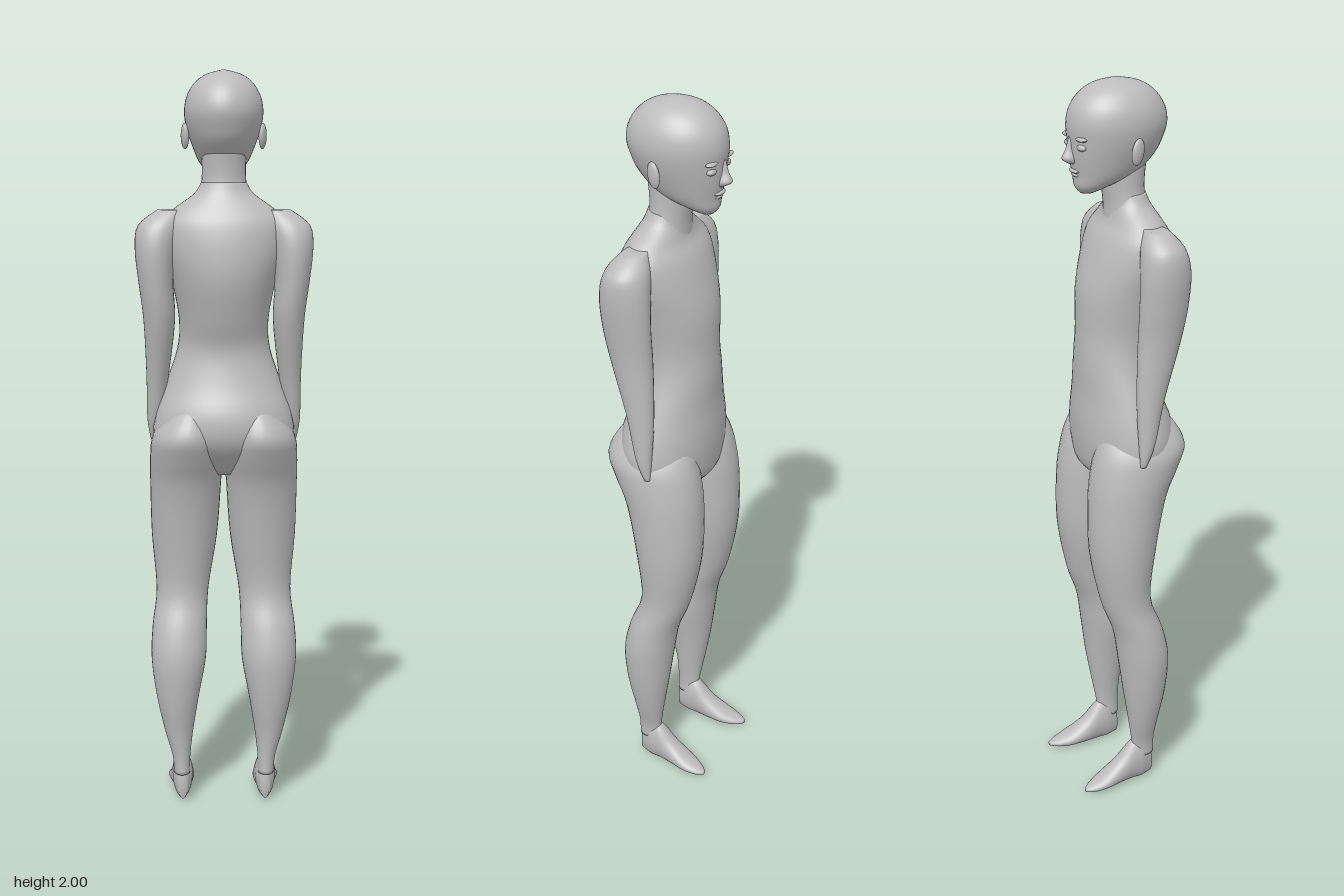
import * as THREE from 'three';

// Smooth skin through elliptical sections [y, centreX, centreZ, radiusX, radiusZ], listed bottom to top
function loft(sections, sides = 28, sub = 4) {
  const at = i => sections[Math.max(0, Math.min(sections.length - 1, i))];
  const rows = [];
  for (let i = 0; i < sections.length - 1; i++) {
    for (let s = 0; s < sub; s++) {
      const t = s / sub;
      rows.push(at(i).map((b, k) => {
        const a = at(i - 1)[k], c = at(i + 1)[k], d = at(i + 2)[k];
        return 0.5 * (2 * b + (c - a) * t + (2 * a - 5 * b + 4 * c - d) * t * t + (3 * b - a - 3 * c + d) * t ** 3);
      }));
    }
  }
  rows.push(at(sections.length - 1));
  const pos = [], index = [];
  for (const [y, cx, cz, rx, rz] of rows) {
    for (let j = 0; j < sides; j++) {
      const a = (j / sides) * Math.PI * 2;
      pos.push(cx + rx * Math.cos(a), y, cz + rz * Math.sin(a));
    }
  }
  for (let i = 0; i < rows.length - 1; i++) {
    for (let j = 0; j < sides; j++) {
      const a = i * sides + j, b = i * sides + (j + 1) % sides;
      index.push(a, a + sides, b, b, a + sides, b + sides);
    }
  }
  // End caps
  const last = (rows.length - 1) * sides;
  for (const [row, base] of [[rows[0], 0], [rows[rows.length - 1], last]]) {
    const c = pos.length / 3;
    pos.push(row[1], row[0], row[2]);
    for (let j = 0; j < sides; j++) {
      const a = base + j, b = base + (j + 1) % sides;
      if (base === 0) index.push(c, a, b); else index.push(c, b, a);
    }
  }
  const g = new THREE.BufferGeometry();
  g.setAttribute('position', new THREE.Float32BufferAttribute(pos, 3));
  g.setIndex(index);
  g.computeVertexNormals();
  return g;
}

export function createModel() {
  const model = new THREE.Group();
  model.name = 'mannequin';
  const clay = new THREE.MeshStandardMaterial({ color: 0xbcbcbc });
  clay.name = 'grey clay';

  const add = (name, geometry) => {
    const mesh = new THREE.Mesh(geometry, clay);
    mesh.name = name;
    model.add(mesh);
    return mesh;
  };
  const ellipsoid = (name, p, r) => {
    const mesh = add(name, new THREE.SphereGeometry(1, 20, 14));
    mesh.position.set(...p);
    mesh.scale.set(...r);
    return mesh;
  };
  const mirrored = (sections, side) => sections.map(([y, x, ...rest]) => [y, x * side, ...rest]);

  // Torso from hips to collar
  add('torso', loft([
    [0.93, 0, 0, 0.05, 0.05], [0.97, 0, 0.002, 0.14, 0.095], [1.03, 0, 0.018, 0.188, 0.122],
    [1.1, 0, 0.018, 0.182, 0.125], [1.18, 0, 0.005, 0.155, 0.108], [1.27, 0, -0.004, 0.125, 0.1],
    [1.35, 0, 0.01, 0.12, 0.11], [1.45, 0, 0.025, 0.138, 0.122], [1.53, 0, 0.036, 0.16, 0.113],
    [1.6, 0, 0.043, 0.165, 0.094], [1.64, 0, 0.045, 0.135, 0.072], [1.68, 0, 0.038, 0.08, 0.056],
    [1.71, 0, 0.033, 0.06, 0.05],
  ], 40));

  add('neck', loft([
    [1.62, 0, 0.045, 0.085, 0.07], [1.68, 0, 0.032, 0.066, 0.056],
    [1.73, 0, 0.025, 0.058, 0.055], [1.82, 0, 0.025, 0.06, 0.065],
  ]));

  // Head, facing -z
  add('head', loft([
    [1.718, 0, -0.075, 0.018, 0.018], [1.735, 0, -0.06, 0.042, 0.047], [1.765, 0, -0.025, 0.066, 0.086],
    [1.81, 0, -0.005, 0.085, 0.114], [1.85, 0, 0.004, 0.098, 0.126], [1.89, 0, 0.008, 0.104, 0.133],
    [1.93, 0, 0.008, 0.098, 0.124], [1.965, 0, 0.008, 0.078, 0.098], [1.988, 0, 0.008, 0.047, 0.06],
    [2, 0, 0.008, 0.004, 0.004],
  ], 40));

  // Face
  add('nose', loft([
    [1.795, 0, -0.112, 0.012, 0.012], [1.808, 0, -0.122, 0.017, 0.021],
    [1.83, 0, -0.118, 0.01, 0.015], [1.865, 0, -0.115, 0.007, 0.008],
  ], 16));
  ellipsoid('upperLip', [0, 1.776, -0.109], [0.024, 0.006, 0.011]);
  ellipsoid('lowerLip', [0, 1.766, -0.104], [0.02, 0.006, 0.011]);

  for (const side of [1, -1]) {
    const label = side > 0 ? 'left' : 'right';
    ellipsoid(label + 'Eye', [side * 0.038, 1.84, -0.106], [0.017, 0.009, 0.011]);
    ellipsoid(label + 'Brow', [side * 0.04, 1.861, -0.108], [0.024, 0.006, 0.012]);
    const ear = ellipsoid(label + 'Ear', [side * 0.102, 1.83, 0.018], [0.01, 0.034, 0.019]);
    ear.rotation.set(0.15, side * -0.3, 0);

    // Arm tapering down against the hip
    add(label + 'Arm', loft(mirrored([
      [1.02, 0.192, -0.006, 0.006, 0.008], [1.08, 0.187, 0.006, 0.02, 0.022], [1.2, 0.178, 0.02, 0.03, 0.038],
      [1.35, 0.172, 0.046, 0.042, 0.058], [1.45, 0.18, 0.055, 0.046, 0.066], [1.54, 0.18, 0.058, 0.055, 0.067],
      [1.6, 0.168, 0.055, 0.058, 0.056], [1.64, 0.14, 0.05, 0.035, 0.03],
    ], side)));

    // Leg from ankle to seat
    add(label + 'Leg', loft(mirrored([
      [0.08, 0.117, 0.036, 0.022, 0.032], [0.13, 0.119, 0.034, 0.025, 0.034], [0.2, 0.125, 0.032, 0.039, 0.043],
      [0.3, 0.128, 0.033, 0.058, 0.06], [0.41, 0.125, 0.03, 0.075, 0.071], [0.5, 0.122, 0.014, 0.075, 0.069],
      [0.6, 0.114, -0.02, 0.072, 0.07], [0.75, 0.108, -0.026, 0.09, 0.092], [0.9, 0.104, -0.011, 0.097, 0.108],
      [0.98, 0.101, 0.012, 0.099, 0.122], [1.04, 0.099, 0.03, 0.092, 0.126], [1.1, 0.09, 0.028, 0.06, 0.1],
      [1.14, 0.08, 0.025, 0.03, 0.06],
    ], side), 32));

    // Foot lofted from heel to toe
    const foot = loft(mirrored([
      [-0.062, 0.115, 0.045, 0.012, 0.035], [-0.03, 0.116, 0.065, 0.026, 0.063], [0, 0.116, 0.064, 0.029, 0.062],
      [0.04, 0.117, 0.042, 0.033, 0.04], [0.09, 0.122, 0.024, 0.034, 0.022],
      [0.13, 0.127, 0.015, 0.022, 0.012], [0.152, 0.13, 0.012, 0.007, 0.005],
    ], side));
    foot.rotateX(-Math.PI / 2);
    foot.translate(0, -0.001, 0);
    add(label + 'Foot', foot);
  }

  return model;
}
